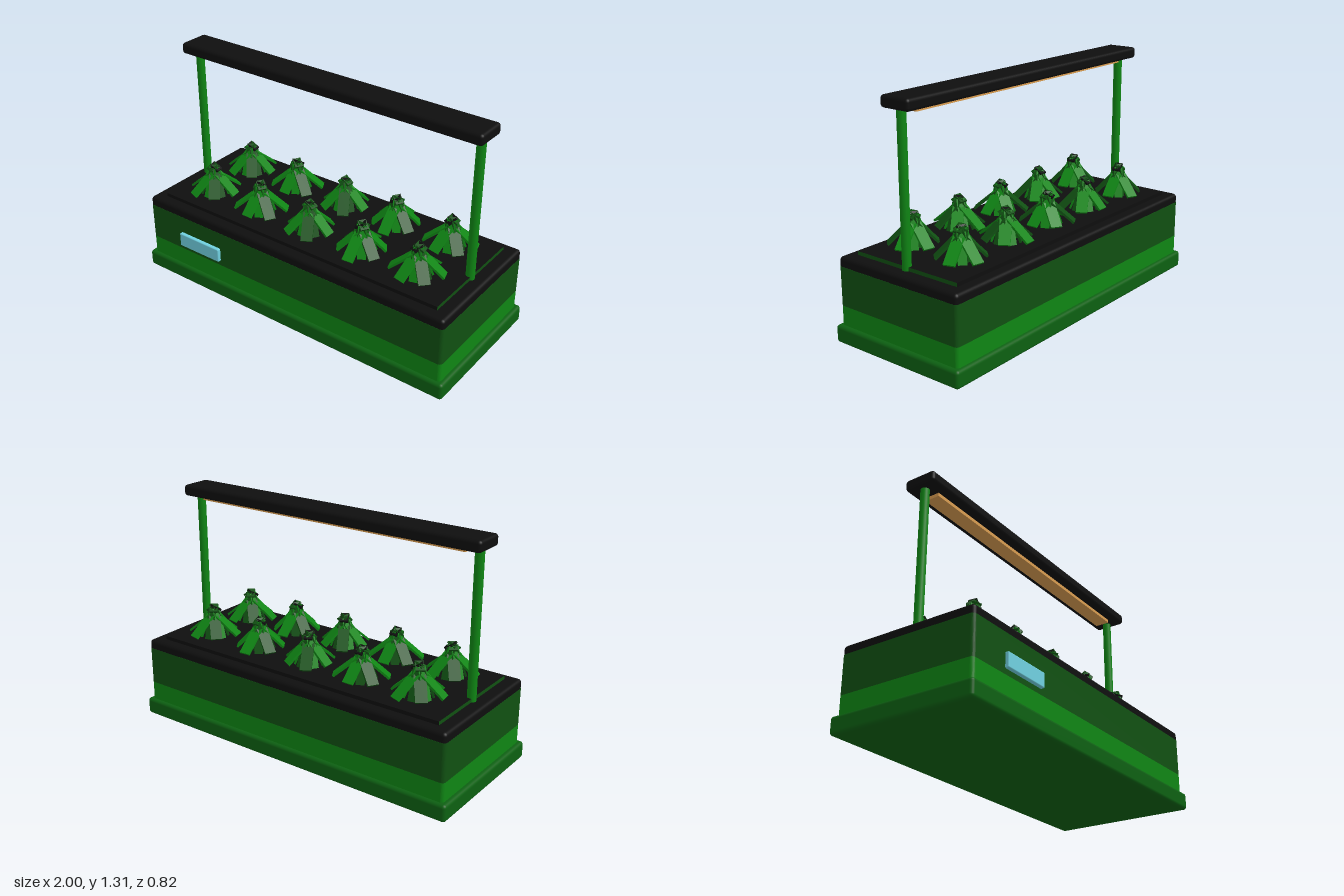
import * as THREE from 'three';
import { RoundedBoxGeometry } from 'three/addons/geometries/RoundedBoxGeometry.js';

const mat = (name, color, flatShading = false) => {
  const m = new THREE.MeshStandardMaterial({ color, flatShading });
  m.name = name;
  return m;
};

export function createModel() {
  const green = mat('brightGreen', 0x0f8514);
  const midGreen = mat('midGreen', 0x0d6012);
  const darkGreen = mat('darkGreen', 0x105012);
  const black = mat('black', 0x0e0e0e);
  const cyan = mat('paleCyan', 0x70d0e0);
  const amber = mat('warmAmber', 0xd89c50);

  const model = new THREE.Group();
  model.name = 'planterWithLight';
  const add = (name, geo, material, x, y, z, parent = model) => {
    const m = new THREE.Mesh(geo, material);
    m.name = name;
    m.position.set(x, y, z);
    parent.add(m);
    return m;
  };
  const rounded = (w, h, d, r) => new RoundedBoxGeometry(w, h, d, 3, r);

  // Straight wall section with rounded vertical corners
  const wall = (w, d, h, r) => {
    const a = w / 2, b = d / 2;
    const s = new THREE.Shape();
    s.moveTo(-a + r, -b);
    s.lineTo(a - r, -b);
    s.absarc(a - r, -b + r, r, -Math.PI / 2, 0);
    s.absarc(a - r, b - r, r, 0, Math.PI / 2);
    s.absarc(-a + r, b - r, r, Math.PI / 2, Math.PI);
    s.absarc(-a + r, -b + r, r, Math.PI, Math.PI * 1.5);
    const g = new THREE.ExtrudeGeometry(s, { depth: h, bevelEnabled: false, curveSegments: 4 });
    return g.rotateX(-Math.PI / 2);
  };

  // Planter box
  add('base', rounded(2, 0.095, 0.825, 0.018), midGreen, 0, 0.0475, 0);
  add('lowerWall', wall(1.95, 0.784, 0.13, 0.02), green, 0, 0.07, 0);
  add('upperWall', wall(1.95, 0.784, 0.21, 0.02), darkGreen, 0, 0.2, 0);
  add('rim', rounded(1.948, 0.12, 0.782, 0.02), black, 0, 0.4, 0);
  add('soilTray', new THREE.BoxGeometry(1.8, 0.03, 0.66),
    [darkGreen, darkGreen, black, black, black, black], 0, 0.465, 0);
  add('display', rounded(0.29, 0.08, 0.03, 0.006), cyan, -0.595, 0.27, 0.397);

  // Light bar on two posts
  for (const side of [-1, 1]) {
    add(side > 0 ? 'leftPost' : 'rightPost',
      new THREE.CylinderGeometry(0.024, 0.024, 0.8, 12), green, side * 0.89, 0.86, 0);
  }
  add('lightBar', rounded(1.88, 0.062, 0.18, 0.018), black, 0, 1.275, 0);
  add('lightStrip', new THREE.BoxGeometry(1.67, 0.03, 0.084), amber, 0, 1.24, 0);

  // A flat leaf running from radius r0, height y0 out to r1, y1
  const leaf = (plant, name, angle, r0, y0, r1, y1, width, material) => {
    const arm = new THREE.Group();
    arm.name = name;
    arm.rotation.y = angle;
    plant.add(arm);
    const geo = new THREE.BoxGeometry(Math.hypot(r1 - r0, y1 - y0), 0.012, width);
    const m = add(name + 'Blade', geo, material, (r0 + r1) / 2, (y0 + y1) / 2, 0, arm);
    m.rotation.z = Math.atan2(y1 - y0, r1 - r0);
  };

  // Two rows of five plants
  const turns = [0.15, 0.52, 0, 0.6, 0.3];
  for (const z of [-0.16, 0.16]) {
    turns.forEach((turn, i) => {
      const plant = new THREE.Group();
      plant.name = 'plant';
      plant.position.set((i - 2) * 0.34, 0.47, z);
      plant.rotation.y = turn;
      model.add(plant);
      add('stem', new THREE.CylinderGeometry(0.025, 0.045, 0.18, 6), darkGreen, 0, 0.09, 0, plant);
      for (let k = 0; k < 6; k++) {
        const a = k * Math.PI / 3;
        const reach = 0.135 + 0.012 * Math.sin(k * 2.3 + i * 1.7);
        leaf(plant, 'outerLeaf', a, 0.02, 0.14, reach, 0.035, 0.062, k % 3 === 2 ? darkGreen : green);
        leaf(plant, 'innerLeaf', a + 0.5, 0.015, 0.18, 0.075, 0.015, 0.045, k % 2 ? darkGreen : green);
      }
      // Dark curled crown
      for (let k = 0; k < 3; k++) {
        leaf(plant, 'crownLeaf', k * 2.1 + i, -0.015, 0.195, 0.035, 0.165, 0.045, k ? darkGreen : black);
      }
    });
  }
  return model;
}
